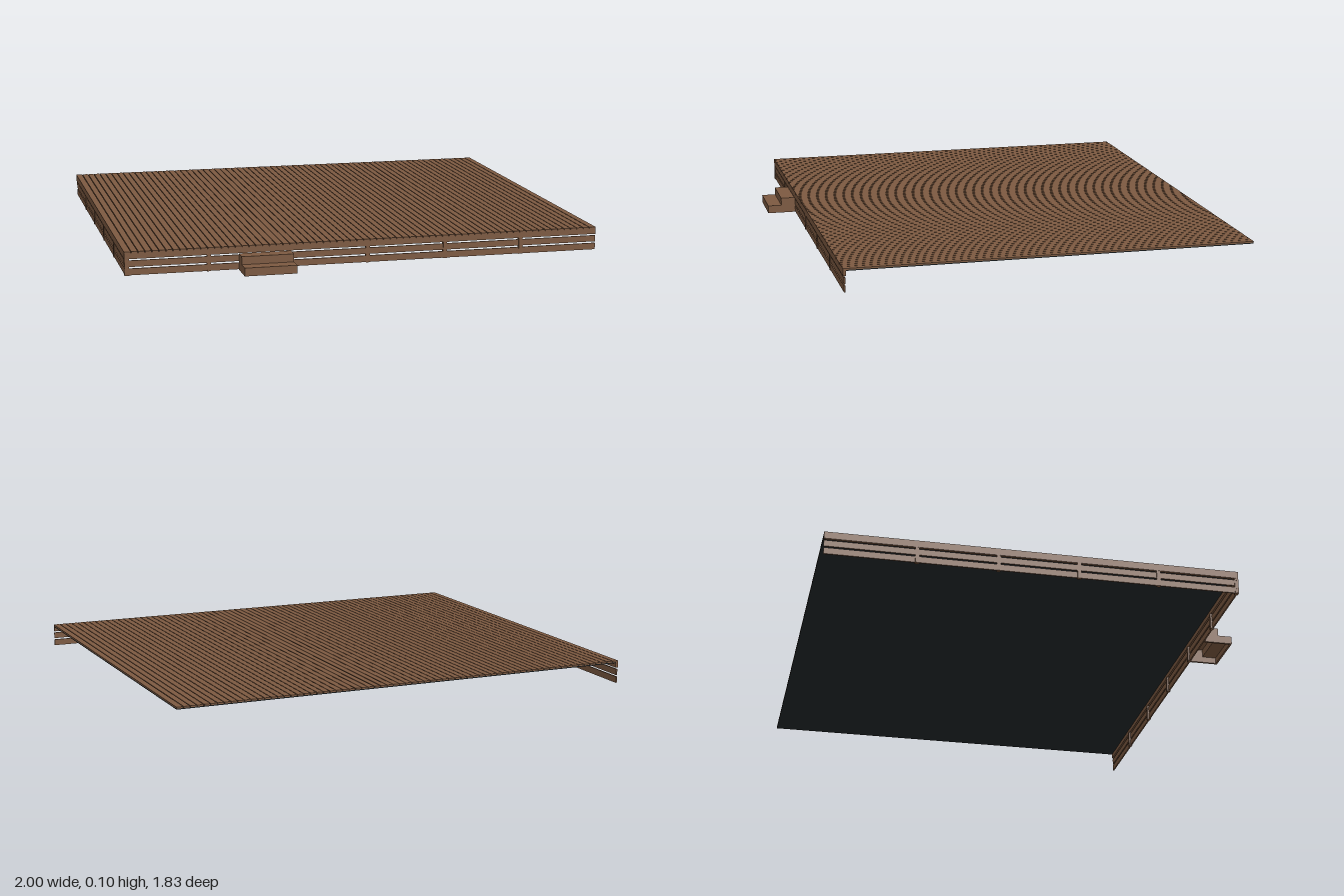
import * as THREE from 'three';

const wood = new THREE.MeshStandardMaterial({ color: 0x7d5a41 });
wood.name = 'brown timber';
const dark = new THREE.MeshStandardMaterial({ color: 0x23282a });
dark.name = 'dark underlay';

const FRONT = 0.795, BACK = -0.915, TOP = 0.098;
const BOARD_BASE = 0.092, SKIRT = 0.012;

// Box given by its minimum and maximum corners
function box(parent, name, material, [x0, y0, z0], [x1, y1, z1]) {
  const mesh = new THREE.Mesh(new THREE.BoxGeometry(x1 - x0, y1 - y0, z1 - z0), material);
  mesh.position.set((x0 + x1) / 2, (y0 + y1) / 2, (z0 + z1) / 2);
  mesh.name = name;
  parent.add(mesh);
  return mesh;
}

function group(parent, name) {
  const g = new THREE.Group();
  g.name = name;
  parent.add(g);
  return g;
}

// Skirt along local x from 0 to length, outer face at local z = 0
function buildSkirt(parent, name, length, posts) {
  const skirt = group(parent, name);
  const rows = [[0.001, 0.028], [0.035, 0.061], [0.068, BOARD_BASE]];
  rows.forEach(([y0, y1], i) => {
    const inset = i === 2 ? 0 : 0.003;
    box(skirt, i === 2 ? 'fascia' : 'skirtBoard', wood, [0, y0, -SKIRT + inset], [length, y1, -inset]);
  });
  for (const p of posts) {
    box(skirt, 'skirtPost', wood, [p - 0.008, 0, -SKIRT - 0.004], [p + 0.008, 0.069, -0.0005]);
  }
  return skirt;
}

// Two hollow steps with stepped side panels
function buildSteps(parent) {
  const steps = group(parent, 'steps');
  const x0 = -0.535, x1 = -0.32, mid = 0.855, end = 0.915, low = 0.034, high = 0.067;
  const t = 0.008;

  // Side panels: shape x runs forward along z
  const side = new THREE.Shape([
    [FRONT, 0], [end - t, 0], [end - t, low - t], [mid - t, low - t],
    [mid - t, high - t], [FRONT, high - t],
  ].map(([z, y]) => new THREE.Vector2(z, y)));
  const sideGeometry = new THREE.ExtrudeGeometry(side, { depth: 0.01, bevelEnabled: false });
  sideGeometry.rotateY(-Math.PI / 2);
  for (const x of [x0 + 0.01, x1]) {
    const panel = new THREE.Mesh(sideGeometry, wood);
    panel.name = 'stepSide';
    panel.position.x = x;
    steps.add(panel);
  }

  // Treads and risers
  box(steps, 'upperTread', wood, [x0, high - t, FRONT], [x1, high, mid]);
  box(steps, 'lowerTread', wood, [x0, low - t, mid - t], [x1, low, end]);
  box(steps, 'upperRiser', wood, [x0, low, mid - t], [x1, high - t, mid]);
  box(steps, 'lowerRiser', wood, [x0, 0, end - t], [x1, low - t, end]);
}

export function createModel() {
  const model = new THREE.Group();
  model.name = 'deck';

  // Deck boards running front to back
  const boards = group(model, 'deckBoards');
  const count = 71, pitch = 2 / count, gap = 0.0028;
  for (let i = 0; i < count; i++) {
    const x0 = -1 + i * pitch + (i ? gap / 2 : 0);
    const x1 = -1 + (i + 1) * pitch - (i < count - 1 ? gap / 2 : 0);
    box(boards, 'deckBoard', wood, [x0, BOARD_BASE, BACK], [x1, TOP, FRONT]);
  }

  // Dark sheet under the boards
  box(model, 'underlay', dark, [-1 + SKIRT, 0.088, BACK], [1, BOARD_BASE, FRONT - SKIRT]);

  // Skirts on the front and the right side
  const front = buildSkirt(model, 'frontSkirt', 2, [0, 1, 2, 3, 4, 5].map((i) => 0.012 + i * 0.331));
  front.position.set(-1, 0, FRONT);
  const sidePosts = [0, 1, 2, 3, 4].map((i) => FRONT - BACK - 0.008 - i * 0.332);
  const right = buildSkirt(model, 'rightSkirt', FRONT - BACK, sidePosts);
  right.rotation.y = -Math.PI / 2;
  right.position.set(-1, 0, BACK);

  buildSteps(model);
  return model;
}
